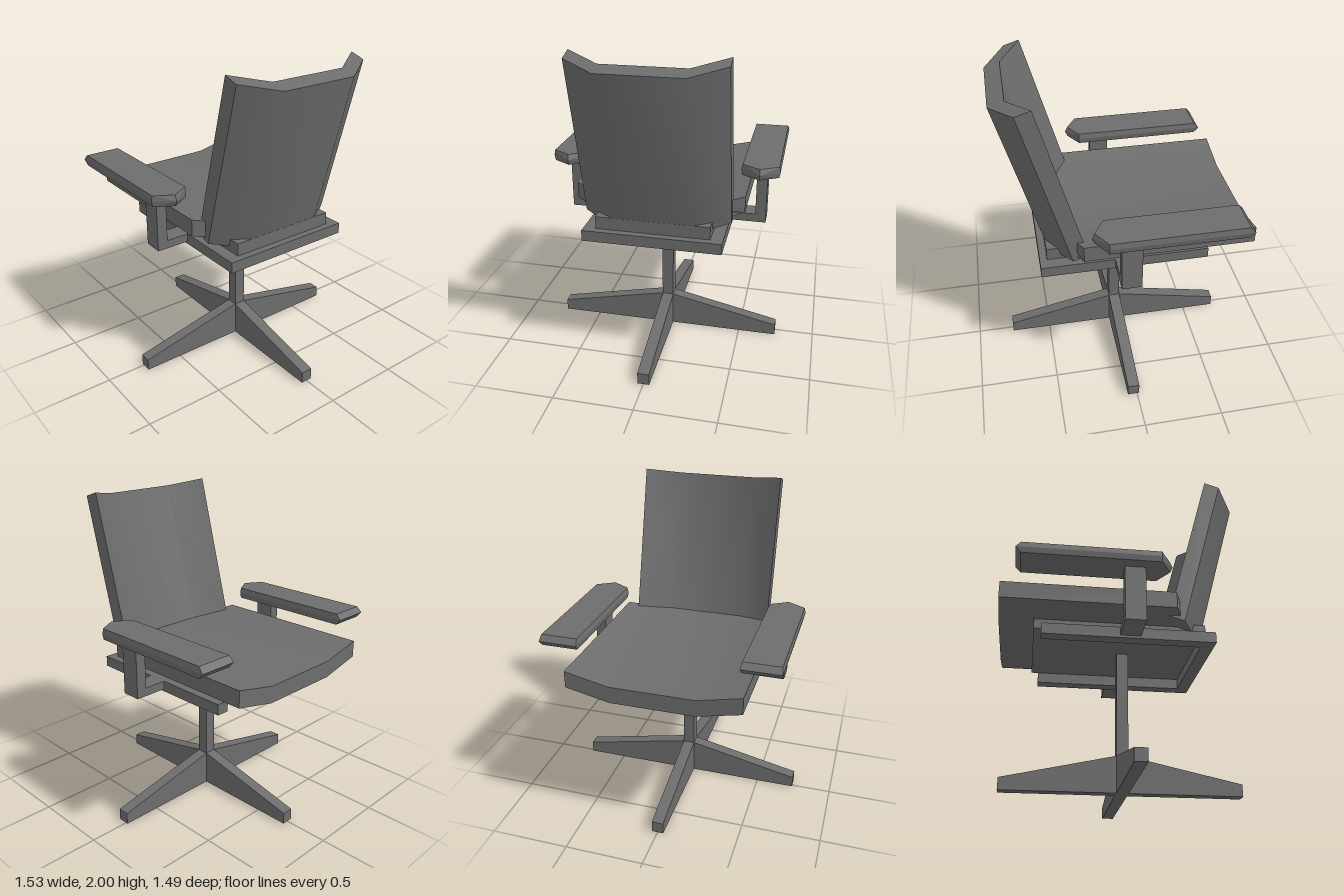
import * as THREE from 'three';
import { toCreasedNormals } from 'three/addons/utils/BufferGeometryUtils.js';
import { ConvexGeometry } from 'three/addons/geometries/ConvexGeometry.js';

const material = new THREE.MeshStandardMaterial({ color: 0x6d6d6d });

function add(group, name, geometry) {
  const mesh = new THREE.Mesh(geometry, material);
  mesh.name = name;
  group.add(mesh);
  return mesh;
}

// Box given by its lower and upper limits
function box(group, name, [x0, x1], [y0, y1], [z0, z1]) {
  const mesh = add(group, name, new THREE.BoxGeometry(x1 - x0, y1 - y0, z1 - z0));
  mesh.position.set((x0 + x1) / 2, (y0 + y1) / 2, (z0 + z1) / 2);
}

function extrude(points, depth) {
  const shape = new THREE.Shape(points.map(([x, y]) => new THREE.Vector2(x, y)));
  return new THREE.ExtrudeGeometry(shape, { depth, bevelEnabled: false });
}

// Cross-section of a padded panel: flat middle, edges angled by "bend"
function bentPanel(half, flat, bend, thickness, depth) {
  const face = [[-half, 0], [-flat, bend], [flat, bend], [half, 0]];
  const other = face.map(([x, y]) => [x, y + thickness]).reverse();
  return extrude([...face, ...other], depth);
}

export function createModel() {
  const chair = new THREE.Group();
  chair.name = 'swivelArmchair';
  const cx = 0.023; // column axis
  const r = 0.037; // half width of column and feet

  // Pedestal: square column with four tapering feet
  box(chair, 'column', [cx - r, cx + r], [0, 0.905], [-r, r]);
  for (let i = 0; i < 4; i++) {
    const reach = i % 2 ? 0.746 : 0.738;
    const g = extrude([[r, 0], [reach, 0], [reach, 0.075], [r, 0.227]], 2 * r);
    g.translate(0, 0, -r);
    const foot = add(chair, 'foot', g);
    foot.position.x = cx;
    foot.rotation.y = i * Math.PI / 2;
  }

  // Under-seat frame, open towards the front, and the plate on it
  box(chair, 'frameBackBar', [0.465, 0.545], [0.836, 0.905], [-0.43, 0.43]);
  box(chair, 'seatPlate', [-0.555, 0.5], [0.905, 0.985], [-0.353, 0.353]);

  // Rails, arm brackets and armrests on both sides
  for (const s of [-1, 1]) {
    const span = (a, b) => (s > 0 ? [a, b] : [-b, -a]);
    box(chair, 'frameRail', [-0.51, 0.465], [0.836, 0.905], span(0.35, 0.43));
    box(chair, 'armBracket', [-0.04, 0.085], [0.852, 0.905], span(0.43, 0.575));
    box(chair, 'armPost', [-0.04, 0.085], [0.852, 1.202], span(0.575, 0.642));

    const points = [];
    for (const [y, front, side, tip] of [
      [1.2, -0.65, 0.112, 0.237], [1.235, -0.68, 0.119, 0.253], [1.27, -0.65, 0.112, 0.237],
    ]) {
      for (const w of [-side, side]) {
        points.push(new THREE.Vector3(front, y, w), new THREE.Vector3(0.17, y, w));
      }
      points.push(new THREE.Vector3(tip, y, 0));
    }
    add(chair, 'armrest', new ConvexGeometry(points)).position.z = s * 0.603;
  }

  // Seat: dished across, rear corners cut back
  const seat = bentPanel(0.53, 0.26, -0.06, 0.105, 1);
  seat.rotateY(-Math.PI / 2);
  const p = seat.attributes.position;
  for (let i = 0; i < p.count; i++) {
    const rear = Math.abs(p.getZ(i)) > 0.4 ? 0.29 : 0.41;
    p.setX(i, p.getX(i) < -0.5 ? -0.765 : rear);
  }
  seat.translate(0, 1.005, 0);
  add(chair, 'seat', toCreasedNormals(seat, 0.7));

  // Backrest: wraps forward at its sides, leans back 15 degrees
  const lean = THREE.MathUtils.degToRad(15);
  const up = new THREE.Vector3(Math.sin(lean), Math.cos(lean), 0);
  const back = new THREE.Vector3(0.955, -0.296, 0);
  const rest = bentPanel(0.457, 0.25, 0.138, 0.1, 1.05);
  rest.applyMatrix4(new THREE.Matrix4()
    .makeBasis(new THREE.Vector3(0, 0, 1), back, up)
    .setPosition(0.253, 0.986, 0));
  add(chair, 'backrest', toCreasedNormals(rest, 0.7));

  return chair;
}
